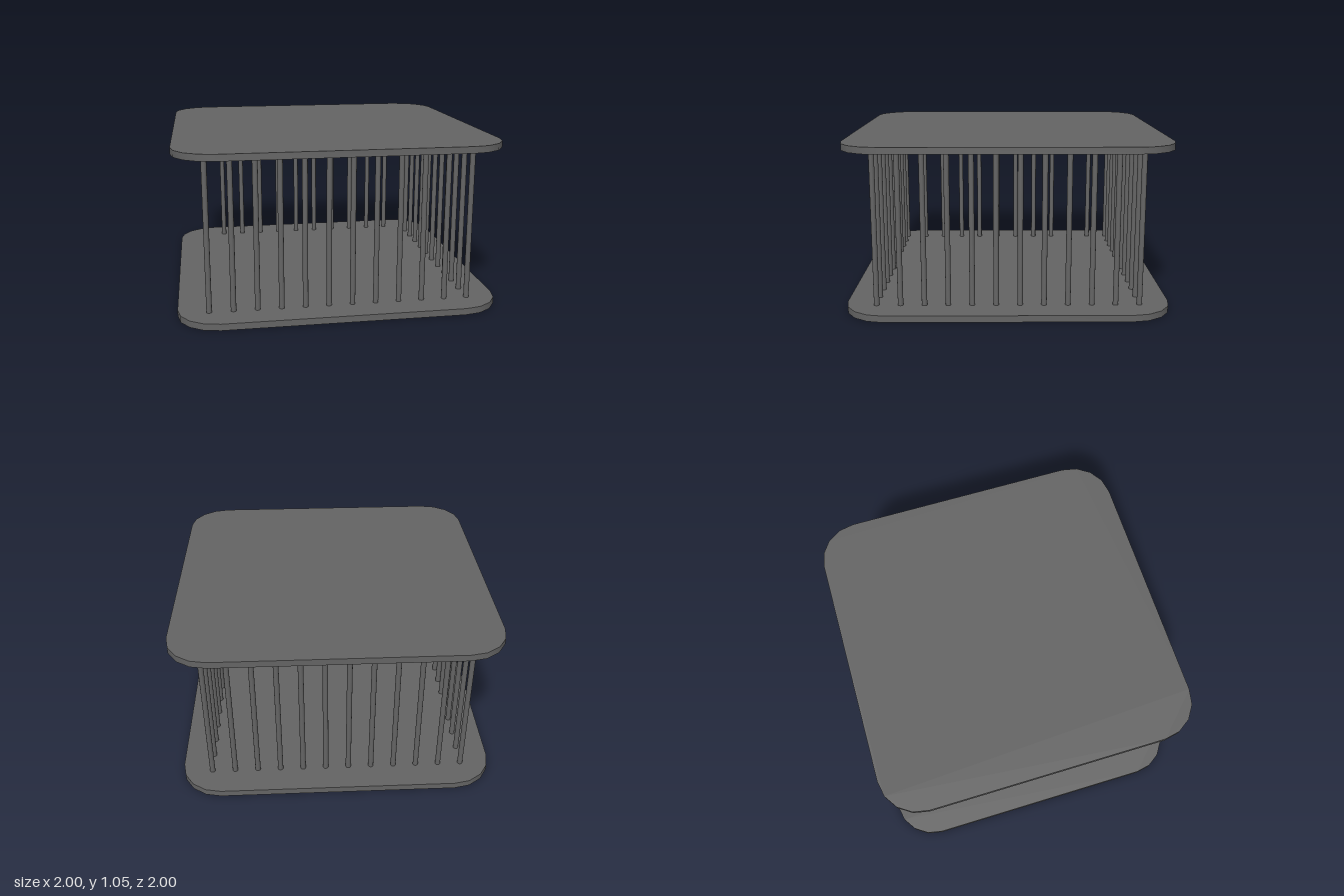
import * as THREE from 'three';
import { toCreasedNormals } from 'three/addons/utils/BufferGeometryUtils.js';

const THICKNESS = 0.041, HEIGHT = 1.048, CORNER = 0.255;
const RODS_PER_SIDE = 12, ROD_REACH = 0.81, ROD_RADIUS = 0.017;

// Square slab with rounded corners, lying flat with its underside at y = 0
function plateGeometry() {
  const shape = new THREE.Shape();
  const c = 1 - CORNER;
  [[c, c], [-c, c], [-c, -c], [c, -c]].forEach(([x, y], i) => {
    for (let k = 0; k <= 4; k++) {
      const a = (i + k / 4) * Math.PI / 2;
      const px = x + CORNER * Math.cos(a), py = y + CORNER * Math.sin(a);
      if (i === 0 && k === 0) shape.moveTo(px, py);
      else shape.lineTo(px, py);
    }
  });
  shape.closePath();
  const geometry = new THREE.ExtrudeGeometry(shape, { depth: THICKNESS, bevelEnabled: false });
  geometry.rotateX(-Math.PI / 2);
  return toCreasedNormals(geometry, Math.PI / 5);
}

export function createModel() {
  const model = new THREE.Group();
  model.name = 'railedTable';
  const material = new THREE.MeshStandardMaterial({ color: 0x646464 });

  // Base and top plates
  const plate = plateGeometry();
  const base = new THREE.Mesh(plate, material);
  base.name = 'basePlate';
  const top = new THREE.Mesh(plate, material);
  top.name = 'topPlate';
  top.position.y = HEIGHT - THICKNESS;
  model.add(base, top);

  // Upright rods around the square, each side starting at its own corner
  const rods = new THREE.Group();
  rods.name = 'rods';
  const rodGeometry = new THREE.CylinderGeometry(ROD_RADIUS, ROD_RADIUS, HEIGHT - 2 * THICKNESS, 12);
  const step = 2 * ROD_REACH / (RODS_PER_SIDE - 1);
  for (let side = 0; side < 4; side++) {
    const sideGroup = new THREE.Group();
    sideGroup.name = ['frontRods', 'leftRods', 'backRods', 'rightRods'][side];
    sideGroup.rotation.y = side * Math.PI / 2;
    for (let i = 0; i < RODS_PER_SIDE - 1; i++) {
      const rod = new THREE.Mesh(rodGeometry, material);
      rod.name = 'rod';
      rod.position.set(-ROD_REACH + i * step, HEIGHT / 2, ROD_REACH);
      sideGroup.add(rod);
    }
    rods.add(sideGroup);
  }
  model.add(rods);
  return model;
}
